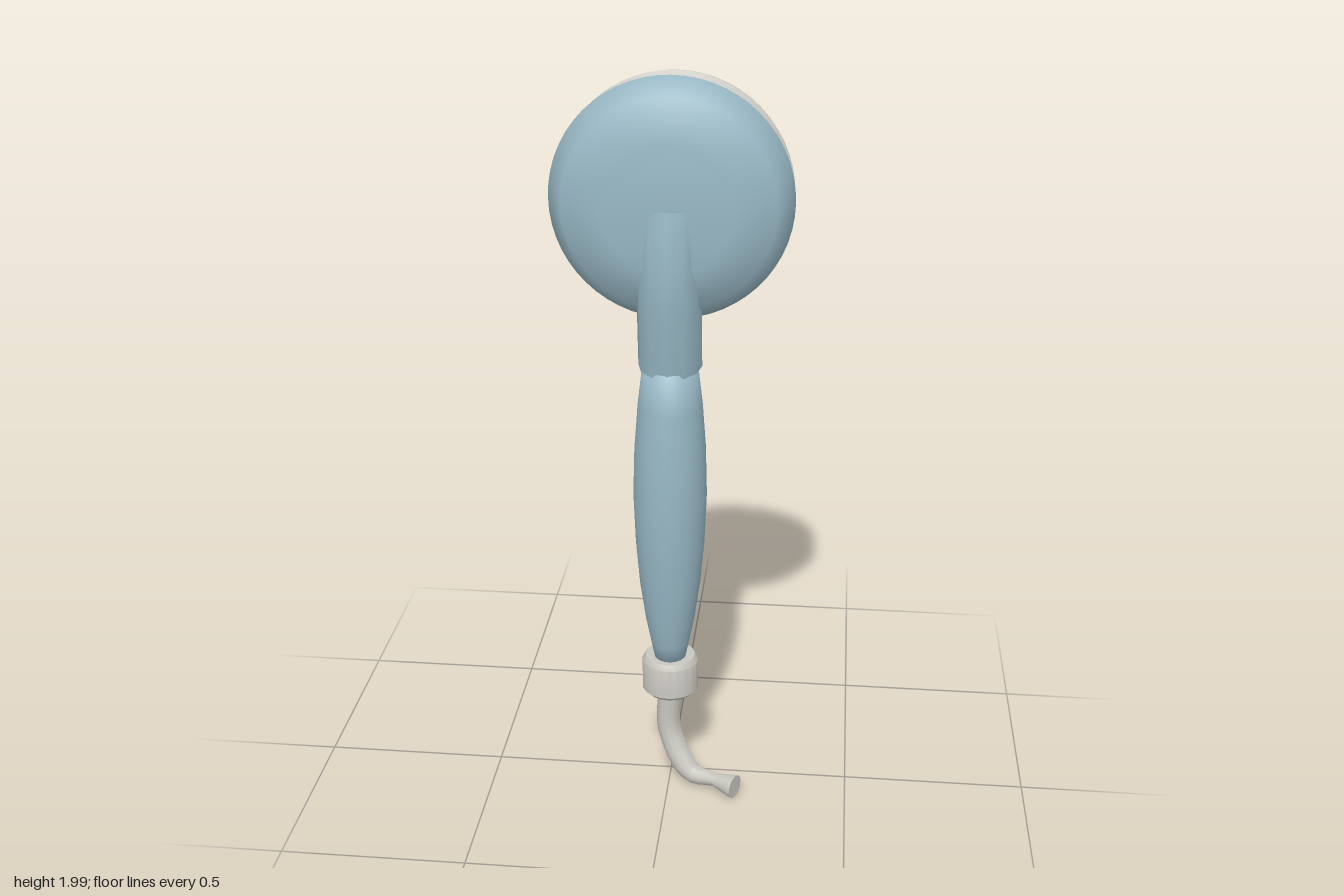
import * as THREE from 'three';
import { toCreasedNormals } from 'three/addons/utils/BufferGeometryUtils.js';

const mat = (name, color) => {
  const m = new THREE.MeshStandardMaterial({ color });
  m.name = name;
  return m;
};

export function createModel() {
  const model = new THREE.Group();
  model.name = 'handShower';
  const blue = mat('blue plastic', 0x98b8c5);
  const grey = mat('warm grey', 0xc9c7c0);
  const green = mat('pale green rubber', 0x9fbaa5);
  const dark = mat('dark groove', 0x5e605c);

  const add = (name, geometry, material, x = 0, y = 0, z = 0, parent = model) => {
    const mesh = new THREE.Mesh(geometry, material);
    mesh.name = name;
    mesh.position.set(x, y, z);
    parent.add(mesh);
    return mesh;
  };
  const lathe = (profile, segments) =>
    new THREE.LatheGeometry(profile.map(([r, h]) => new THREE.Vector2(r, h)), segments);
  // Turned part whose axis runs along z
  const disc = (profile, segments = 56) => lathe(profile, segments).rotateX(Math.PI / 2);

  // Round tube with a radius that varies along the path, closed by end caps
  const sweep = (name, points, segments, sides, radiusAt, material) => {
    const group = new THREE.Group();
    group.name = name;
    const path = new THREE.CatmullRomCurve3(points.map((p) => new THREE.Vector3(...p)), false, 'centripetal');
    const geo = new THREE.TubeGeometry(path, segments, 1, sides);
    const pos = geo.attributes.position;
    const v = new THREE.Vector3();
    for (let i = 0; i <= segments; i++) {
      const c = path.getPointAt(i / segments);
      for (let j = 0; j <= sides; j++) {
        const k = i * (sides + 1) + j;
        v.fromBufferAttribute(pos, k).sub(c).multiplyScalar(radiusAt(i / segments)).add(c);
        pos.setXYZ(k, v.x, v.y, v.z);
      }
    }
    geo.computeVertexNormals();
    add(name + 'Tube', geo, material, 0, 0, 0, group);
    for (const t of [0, 1]) {
      const p = path.getPointAt(t);
      const cap = add(name + 'Cap', new THREE.CircleGeometry(radiusAt(t), sides), material, p.x, p.y, p.z, group);
      cap.lookAt(p.clone().addScaledVector(path.getTangentAt(t), t ? 1 : -1));
    }
    model.add(group);
  };

  // Shower head
  const head = new THREE.Group();
  head.name = 'head';
  head.position.y = 1.69;
  model.add(head);
  add('headShell', disc([[0, -0.075], [0.285, -0.075], [0.295, -0.07], [0.311, 0.005], [0.27, 0.072], [0.165, 0.107], [0, 0.107]]),
    blue, 0, 0, 0, head);
  add('rimRing', toCreasedNormals(disc([[0.25, -0.12], [0.295, -0.116], [0.302, -0.111], [0.306, -0.086], [0.288, -0.075], [0.27, -0.07]]), 0.7),
    grey, 0, 0, 0, head);
  add('sprayPlate', toCreasedNormals(disc([[0, -0.135], [0.247, -0.135], [0.255, -0.118]]), 0.7), grey, 0, 0, 0, head);

  // Nozzles: one in the middle and two circles around it
  const nozzle = disc([[0, -0.163], [0.009, -0.163], [0.0155, -0.157], [0.0155, -0.14], [0.012, -0.134]], 12);
  for (const [count, radius] of [[1, 0], [8, 0.086], [14, 0.18]]) {
    for (let i = 0; i < count; i++) {
      const a = (i / count) * Math.PI * 2;
      add('nozzle', nozzle, green, radius * Math.cos(a), radius * Math.sin(a), 0, head);
    }
  }

  // Neck that runs up into the head
  sweep('neck', [[0, 1.26, 0.027], [0, 1.38, 0.044], [0, 1.5, 0.055], [0, 1.6, 0.051], [0, 1.675, 0.04]],
    12, 12, () => 0.083, blue);

  // Handle, slightly narrower from side to side
  const handle = add('handle', lathe([[0, 0.39], [0.045, 0.39], [0.058, 0.45], [0.073, 0.52], [0.09, 0.63], [0.102, 0.76],
    [0.108, 0.9], [0.104, 1.03], [0.094, 1.15], [0.08, 1.26], [0, 1.27]], 32), blue, 0, 0, 0.03);
  handle.scale.x = 0.91;

  // Grip pad with grooves on the back of the handle
  add('gripPad', new THREE.BoxGeometry(0.13, 0.38, 0.022), grey, 0, 0.88, -0.081);
  for (let i = 0; i < 4; i++) {
    add('gripGroove', new THREE.BoxGeometry(0.1, 0.012, 0.006), dark, 0, 0.768 + i * 0.087, -0.093);
  }

  // Hose nut
  add('hoseNut', toCreasedNormals(lathe([[0, 0.29], [0.066, 0.29], [0.078, 0.302], [0.078, 0.388], [0.068, 0.403], [0, 0.403]], 20), 0.6),
    grey, 0, 0, 0.027);

  // Hose stub, pinched before its flared end
  const hoseRadius = (t) => {
    if (t < 0.6) return 0.033;
    if (t < 0.85) return THREE.MathUtils.lerp(0.033, 0.018, (t - 0.6) / 0.25);
    return THREE.MathUtils.lerp(0.018, 0.034, (t - 0.85) / 0.15);
  };
  sweep('hose', [[0, 0.31, 0.027], [0, 0.15, 0.03], [0.065, 0.042, 0.07], [0.12, 0.042, 0.095], [0.192, 0.042, 0.13]],
    20, 12, hoseRadius, grey);

  return model;
}
